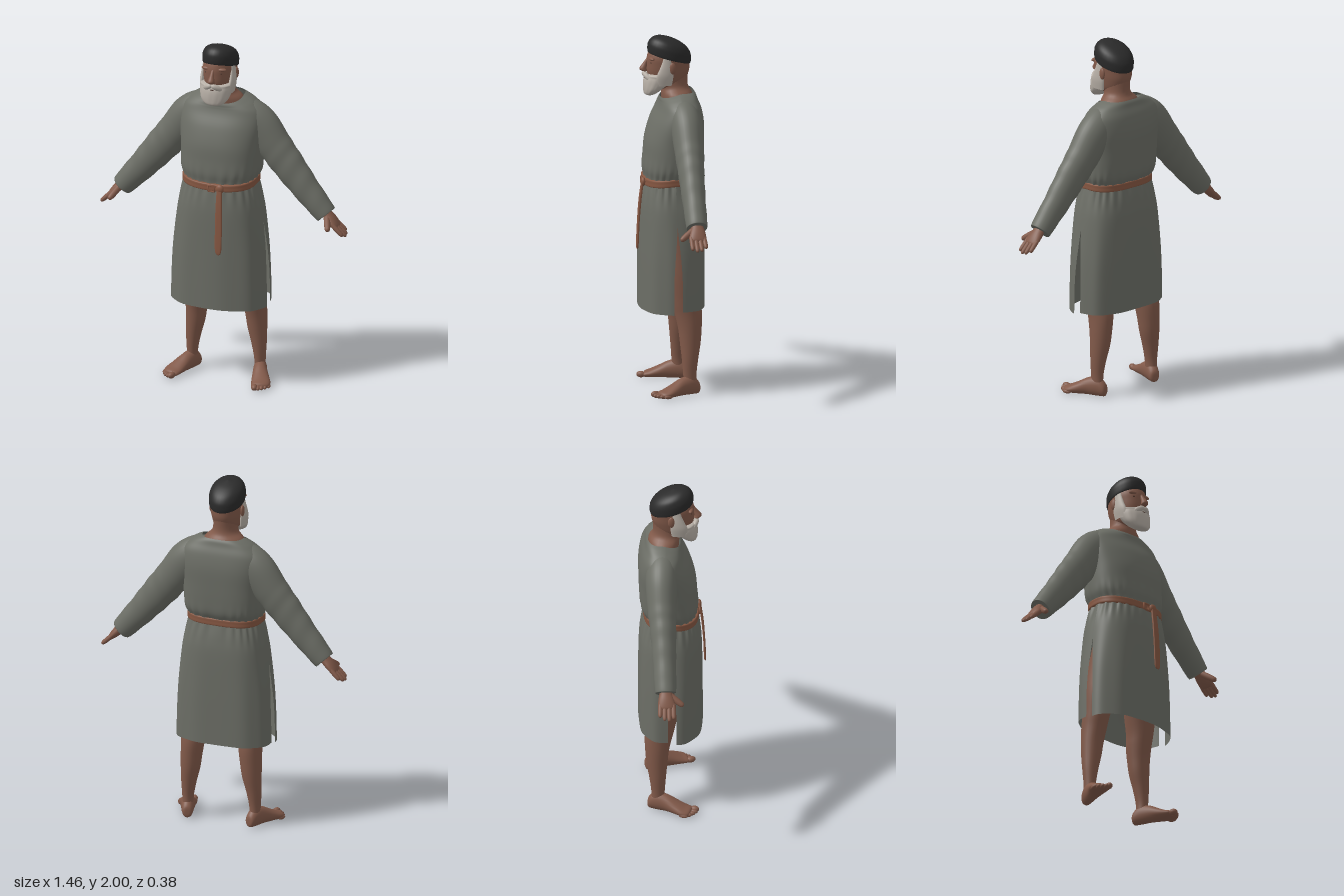
import * as THREE from 'three';
import { mergeVertices } from 'three/addons/utils/BufferGeometryUtils.js';

const mat = (name, color, side = THREE.FrontSide) =>
  Object.assign(new THREE.MeshStandardMaterial({ color, side }), { name });

const { smoothstep, clamp } = THREE.MathUtils;
const V = (x, y, z) => new THREE.Vector3(x, y, z);
const UP = V(0, 1, 0), X = V(1, 0, 0), Z = V(0, 0, 1);

// Smooth interpolation through rows of numbers
function smooth(keys, t) {
  const n = keys.length - 1, f = clamp(t, 0, 1) * n, i = Math.min(Math.floor(f), n - 1), w = f - i;
  const at = k => keys[clamp(k, 0, n)];
  return keys[0].map((_, c) => {
    const [p, q, r, s] = [at(i - 1)[c], at(i)[c], at(i + 1)[c], at(i + 2)[c]];
    return q + 0.5 * w * (r - p + w * (2 * p - 5 * q + 4 * r - s + w * (3 * (q - r) + s - p)));
  });
}

// Rounded body swept through keys [x, y, z, radiusAlongRef, radiusAcross];
// e and eBack square off the front and back halves of its cross-section
function sweep(keys, { axis, ref = X, n = 24, m = (keys.length - 1) * 5, e = 1, eBack = e,
  arc = () => [0, Math.PI * 2], ripple = () => 0, warp } = {}) {
  const pos = [], idx = [];
  for (let j = 0; j <= m; j++) {
    const t = j / m, [x, y, z, ra, rb] = smooth(keys, t), [a0, a1] = arc(t);
    const T = axis ? axis.clone() : V(...smooth(keys, t + 0.02)).sub(V(...smooth(keys, t - 0.02)));
    T.normalize();
    const U = ref.clone().addScaledVector(T, -ref.dot(T)).normalize(), W = U.clone().cross(T);
    for (let i = 0; i <= n; i++) {
      const a = a0 + (a1 - a0) * i / n, k = 1 + ripple(a, t, y);
      const pow = v => Math.sign(v) * Math.abs(v) ** (Math.sin(a) > 0 ? e : eBack);
      const p = V(x, y, z).addScaledVector(U, Math.max(ra, 0) * k * pow(Math.cos(a)))
        .addScaledVector(W, Math.max(rb, 0) * k * pow(Math.sin(a)));
      if (warp) warp(p, t);
      pos.push(p.x, p.y, p.z);
      if (i < n && j < m) {
        const q = j * (n + 1) + i, r = q + n + 1;
        idx.push(q, r, q + 1, q + 1, r, r + 1);
      }
    }
  }
  let g = new THREE.BufferGeometry();
  g.setAttribute('position', new THREE.Float32BufferAttribute(pos, 3));
  g.setIndex(idx);
  g = mergeVertices(g, 1e-5);
  g.computeVertexNormals();
  return g;
}

const ball = (x, y, z, rx, ry, rz) =>
  new THREE.SphereGeometry(1, 16, 12).scale(rx, ry, rz).translate(x, y, z);

// Reflected copy in x with its faces turned the right way
function mirror(geo) {
  const g = geo.clone().scale(-1, 1, 1), a = g.index.array;
  for (let i = 0; i < a.length; i += 3) [a[i], a[i + 1]] = [a[i + 1], a[i]];
  g.computeVertexNormals();
  return g;
}

export function createModel() {
  const group = new THREE.Group();
  group.name = 'robedMan';
  const skin = mat('skin', 0x825a4a), cloth = mat('tunicCloth', 0x6c6e66, THREE.DoubleSide);
  const wool = mat('capWool', 0x2a2a2a), hair = mat('beardHair', 0xb8b0a7);
  const leather = mat('beltLeather', 0x865742), dark = mat('eyeDark', 0x4a3228);
  const add = (name, geo, material) => {
    const mesh = new THREE.Mesh(geo, material);
    mesh.name = name;
    group.add(mesh);
  };
  const pair = (name, geo, material) => {
    add(name + 'Left', geo, material);
    add(name + 'Right', mirror(geo), material);
  };

  // Tunic: gathered at the waist
  const gather = (a, t, y) => 0.025 * Math.cos(24 * a + Math.sin(3 * a)) * Math.exp(-(((y - 1.19) / 0.08) ** 2))
    + 0.01 * Math.sin(9 * a + 1) * smoothstep(1.3 - y, 0.1, 0.6);
  add('tunicTop', sweep([
    [0, 1.17, -0.007, 0.203, 0.143], [0, 1.21, -0.008, 0.207, 0.145], [0, 1.26, -0.016, 0.225, 0.16],
    [0, 1.33, -0.022, 0.231, 0.161], [0, 1.42, -0.028, 0.235, 0.158], [0, 1.52, -0.043, 0.243, 0.143],
    [0, 1.6, -0.055, 0.235, 0.117], [0, 1.65, -0.05, 0.19, 0.103], [0, 1.675, -0.047, 0.15, 0.098],
    [0, 1.688, -0.045, 0.12, 0.092],
  ], { axis: UP, n: 96, e: 0.85, eBack: 0.7, ripple: gather,
    warp: p => { p.y -= 0.36 * Math.max(0, p.z + 0.05) * smoothstep(p.y, 1.6, 1.69); } }), cloth);

  // Skirt: front and back panels parted by side slits
  const skirt = [[0, 0.468, -0.009, 0.281, 0.178], [0, 0.62, -0.009, 0.278, 0.178], [0, 0.8, -0.009, 0.268, 0.177],
    [0, 1, -0.009, 0.246, 0.173], [0, 1.1, -0.008, 0.228, 0.163], [0, 1.19, -0.007, 0.205, 0.145]];
  const panel = (start, gap, lift) => sweep(skirt, { axis: UP, n: 72, m: 30, e: 0.85, eBack: 0.7, ripple: gather,
    arc: t => {
      const g = gap * (1 - smoothstep(t, 0.2, 0.6)) - 0.004;
      return [start + g, start + Math.PI - g];
    },
    warp: (p, t) => { p.y += lift * (1 - t); } });
  add('skirtFront', panel(0, 0.09, 0), cloth);
  add('skirtBack', panel(Math.PI, 0.065, 0.015), cloth);

  // Sleeves flowing from the shoulder, creased, turned in at the cuff
  pair('sleeve', sweep([
    [0.04, 1.575, -0.055, 0.06, 0.07], [0.1, 1.575, -0.058, 0.08, 0.092], [0.155, 1.558, -0.063, 0.087, 0.103],
    [0.215, 1.508, -0.068, 0.088, 0.107], [0.29, 1.41, -0.068, 0.082, 0.1], [0.375, 1.305, -0.065, 0.073, 0.094],
    [0.48, 1.18, -0.062, 0.065, 0.08], [0.595, 1.05, -0.06, 0.059, 0.064], [0.6, 1.044, -0.06, 0.054, 0.057],
  ], { ref: Z, n: 32, m: 72,
    ripple: (a, t) => 0.018 * Math.sin(70 * t + 2 * Math.sin(a)) * smoothstep(t, 0.45, 0.6) * (1 - smoothstep(t, 0.8, 0.87)) }), cloth);

  // Belt, buckle and hanging strap
  add('belt', sweep([[0, 1.164, -0.007, 0.2, 0.14], [0, 1.166, -0.007, 0.214, 0.154], [0, 1.186, -0.007, 0.215, 0.155],
    [0, 1.203, -0.007, 0.214, 0.154], [0, 1.205, -0.007, 0.2, 0.14]],
  { axis: UP, n: 64, e: 0.85, eBack: 0.7, warp: p => { p.y += 0.018 * (1 - Math.max(0, p.z / 0.148)); } }), leather);
  add('buckle', new THREE.TorusGeometry(0.024, 0.006, 8, 4).rotateZ(Math.PI / 4).translate(0.005, 1.182, 0.152), leather);
  add('beltKnot', ball(0.055, 1.185, 0.152, 0.024, 0.026, 0.014), leather);
  add('beltStrap', sweep([[0.06, 0.805, 0.186, 0.004, 0.003], [0.058, 0.83, 0.185, 0.018, 0.006],
    [0.058, 0.95, 0.18, 0.02, 0.006], [0.056, 1.08, 0.17, 0.018, 0.007], [0.054, 1.19, 0.155, 0.014, 0.007]],
  { axis: UP, e: 0.5 }), leather);

  // Legs with calves, and feet
  pair('leg', sweep([[0.2, 0.03, -0.09, 0.031, 0.037], [0.201, 0.11, -0.086, 0.031, 0.037],
    [0.195, 0.2, -0.088, 0.042, 0.046], [0.184, 0.29, -0.091, 0.054, 0.058], [0.178, 0.37, -0.09, 0.06, 0.066],
    [0.172, 0.45, -0.083, 0.065, 0.076], [0.168, 0.53, -0.07, 0.071, 0.082], [0.15, 0.7, -0.05, 0.09, 0.095],
    [0.12, 0.95, -0.02, 0.09, 0.09]], { axis: UP }), skin);
  const placeFoot = g => g.rotateY(0.35).translate(0.2, 0, -0.095);
  pair('foot', placeFoot(sweep([[0, 0.035, -0.048, 0, 0], [0, 0.037, -0.042, 0.026, 0.034],
    [0, 0.052, 0, 0.036, 0.055], [0, 0.048, 0.06, 0.041, 0.05], [0.004, 0.033, 0.12, 0.05, 0.035],
    [0.006, 0.022, 0.165, 0.053, 0.024], [0, 0.017, 0.198, 0.042, 0.016], [0, 0.015, 0.206, 0, 0]],
  { axis: Z, warp: p => { p.y = Math.max(p.y, 0.002); } })), skin);
  for (let i = 0; i < 5; i++) {
    const r = i ? 0.0135 - i * 0.0005 : 0.018;
    pair('toe' + (i + 1), placeFoot(ball(-0.029 + i * 0.0195, r, 0.213 - i * i * 0.0026, r, r, 0.026)), skin);
  }

  // Hands
  pair('palm', sweep([[0.55, 1.11, -0.06, 0.034, 0.032], [0.605, 1.05, -0.06, 0.034, 0.027],
    [0.64, 1.014, -0.058, 0.044, 0.025], [0.665, 0.988, -0.056, 0.047, 0.019], [0.677, 0.976, -0.056, 0.036, 0.012],
    [0.679, 0.974, -0.056, 0, 0]], { axis: V(0.707, -0.707, 0), ref: Z }), skin);
  const finger = (a, b, r) => {
    const row = (t, k) => [...V(...a).lerp(V(...b), t).toArray(), r * k, r * k];
    return sweep([row(0, 1), row(0.5, 1), row(0.85, 0.85), row(0.97, 0.5), row(1, 0)], { ref: Z, n: 12, m: 12 });
  };
  [0.046, 0.06, 0.064, 0.054].forEach((len, i) => {
    const z = -0.09 + i * 0.0235;
    pair('finger' + (i + 1), finger([0.656, 0.997, z], [0.666 + len, 0.985 - len * 0.88, z * 1.08 + 0.002], 0.013), skin);
  });
  pair('thumb', finger([0.615, 1.035, -0.045], [0.652, 0.978, 0.038], 0.018), skin);

  // Neck and head
  add('neck', sweep([[0, 1.61, -0.05, 0.14, 0.086], [0, 1.67, -0.045, 0.114, 0.086], [0, 1.705, -0.035, 0.077, 0.076],
    [0, 1.74, -0.025, 0.068, 0.08], [0, 1.8, -0.02, 0.07, 0.09]], { axis: UP }), skin);
  add('head', sweep([[0, 1.7, 0.04, 0.03, 0.03], [0, 1.73, 0.012, 0.066, 0.085], [0, 1.79, 0.005, 0.082, 0.115],
    [0, 1.84, 0.003, 0.088, 0.12], [0, 1.885, 0.002, 0.088, 0.118], [0, 1.925, 0.012, 0.065, 0.085], [0, 1.94, 0.012, 0, 0]],
  { axis: UP, n: 32, e: 0.95 }), skin);
  add('nose', sweep([[0, 1.88, 0.113, 0.008, 0.006], [0, 1.845, 0.131, 0.012, 0.014], [0, 1.818, 0.144, 0.019, 0.02],
    [0, 1.803, 0.137, 0.018, 0.016], [0, 1.798, 0.13, 0, 0]], { axis: V(0, -1, 0) }), skin);
  pair('ear', ball(0.092, 1.828, -0.012, 0.011, 0.033, 0.02).rotateY(-0.05), skin);
  pair('brow', ball(0.034, 1.877, 0.105, 0.03, 0.01, 0.014).rotateY(0.1), skin);
  pair('eye', ball(0.034, 1.855, 0.108, 0.013, 0.005, 0.004).rotateY(0.05), dark);

  // Beard, whiskers and moustache
  add('beard', sweep([[0, 1.664, 0.112, 0, 0], [0, 1.672, 0.108, 0.048, 0.028], [0, 1.7, 0.09, 0.078, 0.052],
    [0, 1.74, 0.068, 0.091, 0.074], [0, 1.77, 0.06, 0.092, 0.075], [0, 1.787, 0.052, 0.087, 0.07], [0, 1.793, 0.05, 0, 0]],
  { axis: UP, n: 48, ripple: (a, t) => 0.015 * Math.sin(14 * a + 5 * t) * (1 - t) }), hair);
  pair('whisker', sweep([[0.08, 1.73, 0.04, 0.013, 0.045], [0.085, 1.78, 0.035, 0.016, 0.048],
    [0.086, 1.82, 0.028, 0.014, 0.038], [0.084, 1.86, 0.022, 0.011, 0.028], [0.083, 1.895, 0.018, 0.007, 0.022]],
  { axis: UP }), hair);
  pair('moustache', sweep([[-0.004, 1.787, 0.133, 0.006, 0.006], [0.012, 1.785, 0.135, 0.014, 0.014],
    [0.036, 1.77, 0.123, 0.013, 0.016], [0.056, 1.747, 0.104, 0.008, 0.011], [0.06, 1.738, 0.098, 0, 0]],
  { ref: Z, n: 14 }), hair);
  add('mouth', ball(0, 1.762, 0.133, 0.016, 0.005, 0.006), dark);

  // Cap, tilted back
  add('cap', sweep([[0, 1.878, -0.002, 0.088, 0.112], [0, 1.874, -0.002, 0.096, 0.123], [0, 1.9, -0.003, 0.099, 0.127],
    [0, 1.93, -0.004, 0.097, 0.122], [0, 1.96, -0.003, 0.083, 0.1], [0, 1.982, 0.002, 0.052, 0.06], [0, 1.993, 0.006, 0, 0]],
  { axis: V(0, 0.96, -0.276), n: 32, m: 40 }), wool);

  return group;
}
